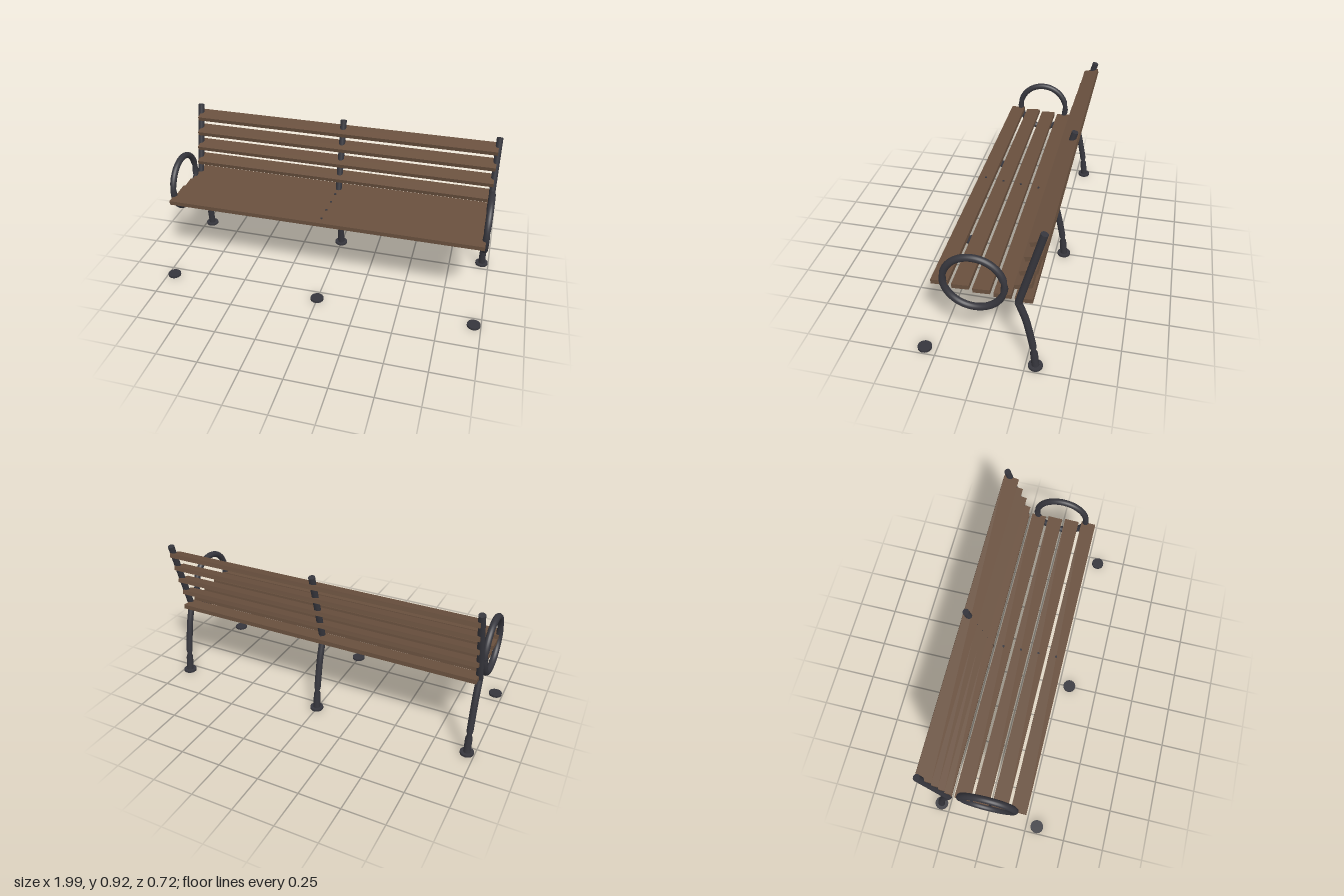
import * as THREE from 'three';

const metal = new THREE.MeshStandardMaterial({ color: 0x36363d, side: THREE.DoubleSide });
metal.name = 'dark metal';
const wood = new THREE.MeshStandardMaterial({ color: 0x69503e });
wood.name = 'brown wood';

const SIDE_X = 0.957;
const TUBE_R = 0.0195;

// Tube whose thickness varies along its length by thickness(u).
function shapedTube(curve, segments, radius, thickness) {
  const sides = 18;
  const geometry = new THREE.TubeGeometry(curve, segments, radius, sides, false);
  const pos = geometry.attributes.position;
  const v = new THREE.Vector3();
  for (let i = 0; i < pos.count; i++) {
    const u = Math.floor(i / (sides + 1)) / segments;
    const centre = curve.getPointAt(u);
    v.fromBufferAttribute(pos, i).sub(centre).multiplyScalar(thickness(u)).add(centre);
    pos.setXYZ(i, v.x, v.y, v.z);
  }
  return geometry;
}

const dip = (u, at, width) => Math.exp(-(((u - at) / width) ** 2));

export function createModel() {
  const bench = new THREE.Group();
  bench.name = 'bench';

  const add = (name, geometry, material, x, y, z, tilt = 0) => {
    const mesh = new THREE.Mesh(geometry, material);
    mesh.name = name;
    mesh.position.set(x, y, z);
    mesh.rotation.x = tilt;
    bench.add(mesh);
    return mesh;
  };

  // Curved rear leg with a turned neck near the foot
  const legCurve = new THREE.CatmullRomCurve3([
    [-0.307, 0.002], [-0.297, 0.1], [-0.291, 0.15], [-0.272, 0.25], [-0.249, 0.35], [-0.212, 0.457],
  ].map(([z, y]) => new THREE.Vector3(0, y, z)));
  const legGeometry = shapedTube(legCurve, 56, TUBE_R,
    (u) => (u < 0.25 ? 1.08 : 1) - 0.3 * dip(u, 0.27, 0.03));

  // Straight leaning back post
  const postBottom = new THREE.Vector2(-0.213, 0.459);
  const postTop = new THREE.Vector2(-0.337, 0.917);
  const postMid = postBottom.clone().add(postTop).multiplyScalar(0.5);
  const postTilt = Math.atan2(postTop.x - postBottom.x, postTop.y - postBottom.y);
  const postGeometry = new THREE.CylinderGeometry(TUBE_R, TUBE_R, postBottom.distanceTo(postTop), 18);

  const footGeometry = new THREE.CylinderGeometry(0.04, 0.04, 0.013, 28);

  for (const x of [-SIDE_X, 0, SIDE_X]) {
    add('rearLeg', legGeometry, metal, x, 0, 0);
    add('backPost', postGeometry, metal, x, postMid.y, postMid.x, postTilt);
    add('rearFoot', footGeometry, metal, x, 0.0095, -0.306);
    add('frontFoot', footGeometry, metal, x, 0.0095, 0.318);
  }

  // Ring armrests, slightly pinched at the joints
  const ringPoints = [];
  for (let i = 0; i <= 48; i++) {
    const a = (i / 48) * (Math.PI * 2 - 0.02);
    ringPoints.push(new THREE.Vector3(0, 0.544 + 0.162 * Math.sin(a), 0.021 - 0.162 * Math.cos(a)));
  }
  const ringGeometry = shapedTube(new THREE.CatmullRomCurve3(ringPoints), 96, TUBE_R,
    (u) => 1 - 0.22 * dip(u, 0.02, 0.018) - 0.15 * dip(u, 0.475, 0.015) - 0.2 * dip(u, 0.955, 0.015));
  for (const side of [-1, 1]) {
    add(side > 0 ? 'leftArmRing' : 'rightArmRing', ringGeometry, metal, side * SIDE_X, 0, 0);
  }

  // Seat slats, each with a bolt over the middle support
  const slatGeometry = new THREE.BoxGeometry(1.916, 0.026, 0.092);
  const boltGeometry = new THREE.CylinderGeometry(0.007, 0.007, 0.006, 12);
  const seatTilt = 0.06;
  for (let i = 0; i < 5; i++) {
    const z = 0.202 - i * 0.1105;
    const y = 0.512 - i * 0.0093;
    add('seatSlat', slatGeometry, wood, 0, y, z, seatTilt);
    add('seatBolt', boltGeometry, metal, 0, y + 0.014, z, seatTilt);
  }

  // Angled back slats threaded on the posts
  for (let i = 0; i < 4; i++) {
    add('backSlat', slatGeometry, wood, 0, 0.57 + i * 0.0945, -0.237 - i * 0.0252, 0.25);
  }

  return bench;
}
